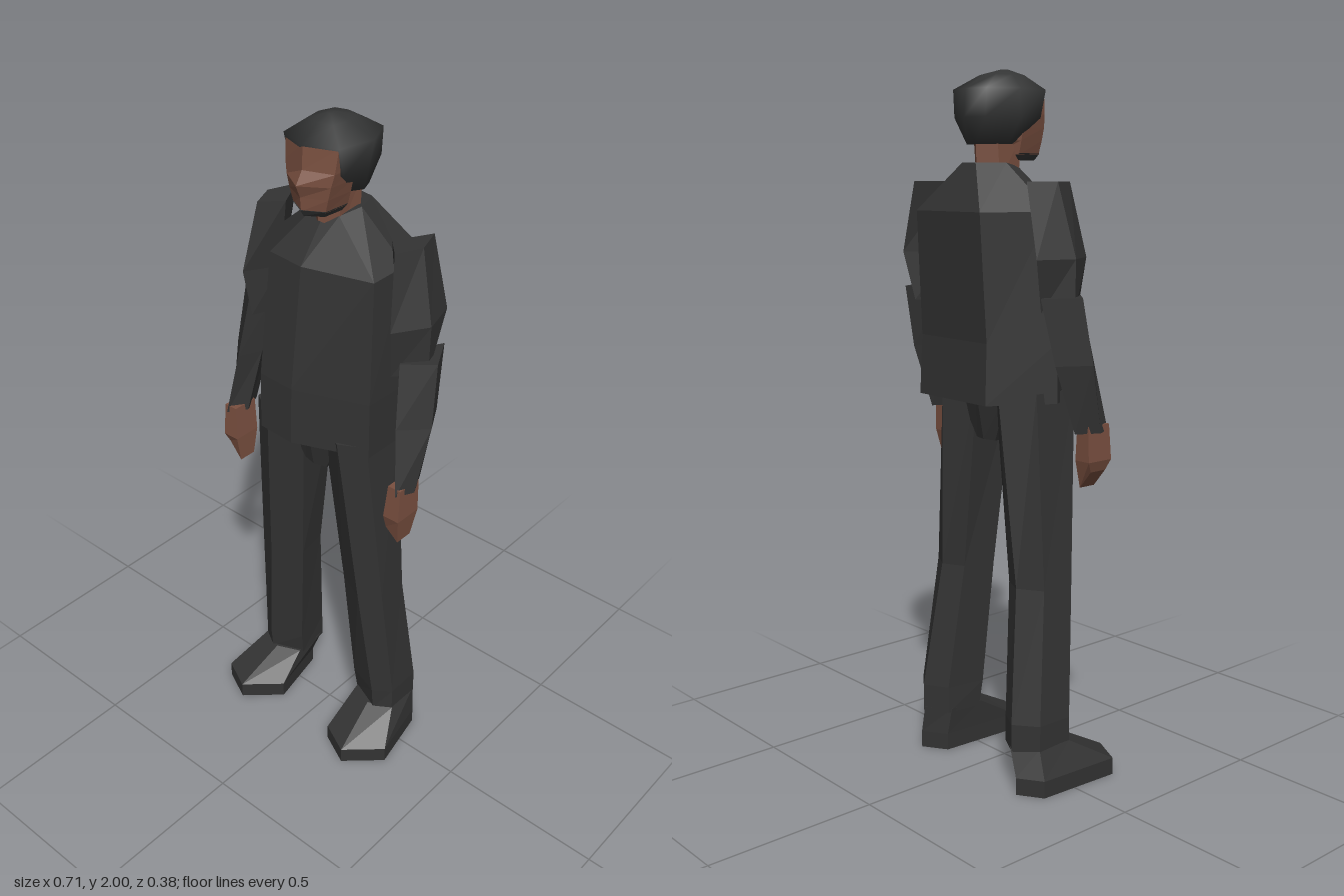
import * as THREE from 'three';

// Joins horizontal rings (bottom to top, counter-clockwise from above) and caps both ends
function loft(rings, smooth = false) {
  const n = rings[0].length, pos = rings.flat(2), idx = [];
  for (let r = 0; r < rings.length - 1; r++) {
    for (let i = 0; i < n; i++) {
      const j = (i + 1) % n, a = r * n + i, b = r * n + j;
      idx.push(a, b, b + n, a, b + n, a + n);
    }
  }
  const top = (rings.length - 1) * n;
  for (let i = 1; i < n - 1; i++) {
    idx.push(0, i + 1, i, top, top + i, top + i + 1);
  }
  let geo = new THREE.BufferGeometry();
  geo.setAttribute('position', new THREE.Float32BufferAttribute(pos, 3));
  geo.setIndex(idx);
  if (!smooth) geo = geo.toNonIndexed();
  geo.computeVertexNormals();
  return geo;
}

// Ring from [x, z, dy] points; side -1 mirrors it
function ring(y, pts, side = 1) {
  const out = pts.map(([x, z, dy = 0]) => [x * side, y + dy, z]);
  return side < 0 ? out.reverse() : out;
}

// Symmetric ring from a half outline running front centre to back centre
function symRing(y, half) {
  const mirrored = half.slice(1, -1).reverse().map(([x, z, dy]) => [-x, z, dy]);
  return ring(y, [...half, ...mirrored]);
}

export function createModel() {
  const mat = (name, color) => {
    const m = new THREE.MeshStandardMaterial({ color });
    m.name = name;
    return m;
  };
  const cloth = mat('dark cloth', 0x333333);
  const skin = mat('skin', 0x7a5040);
  const hairMat = mat('hair', 0x343535);

  const model = new THREE.Group();
  model.name = 'standingMan';
  const add = (name, rings, material, smooth) => {
    const mesh = new THREE.Mesh(loft(rings, smooth), material);
    mesh.name = name;
    model.add(mesh);
  };

  // Jacket, slightly uneven from side to side
  add('jacket', [
    ring(1.10, [[-0.22, 0], [-0.12, 0.155], [0, 0.163], [0.21, 0.08], [0.21, -0.06], [0.18, -0.165], [-0.12, -0.175]]),
    ring(1.27, [[-0.22, 0], [-0.12, 0.15], [0, 0.157], [0.21, 0.08], [0.212, -0.06], [0.18, -0.155], [-0.12, -0.17]]),
    ring(1.62, [[-0.21, -0.02], [-0.12, 0.1], [0, 0.113], [0.2, 0.06], [0.21, -0.05, 0.01], [0.18, -0.17], [-0.12, -0.193]]),
    ring(1.75, [[-0.065, -0.05], [-0.04, 0.015, -0.01], [0, 0.035, -0.03], [0.045, 0.015, -0.01], [0.065, -0.05], [0.04, -0.12], [-0.03, -0.13]]),
  ], cloth);

  // Crotch block between the legs
  add('pelvis', [
    symRing(0.98, [[0, 0.07], [0.04, 0.06], [0.04, -0.07], [0, -0.08]]),
    symRing(1.14, [[0, 0.1], [0.12, 0.08], [0.12, -0.09], [0, -0.11]]),
  ], cloth);

  // Neck
  add('neck', [
    symRing(1.70, [[0, 0.045, 0.025], [0.045, 0.01], [0.05, -0.06], [0, -0.1]]),
    symRing(1.83, [[0, 0.06], [0.05, 0.02], [0.05, -0.07], [0, -0.105]]),
  ], skin);

  // Beard under the chin
  add('beard', [
    symRing(1.757, [[0, 0.1], [0.045, 0.07], [0.05, 0.01], [0, -0.02]]),
    symRing(1.776, [[0, 0.112], [0.056, 0.08], [0.062, 0], [0, -0.03]]),
  ], hairMat);

  // Face
  add('face', [
    symRing(1.772, [[0, 0.109], [0.054, 0.078], [0.06, 0], [0, -0.04]]),
    symRing(1.81, [[0, 0.112], [0.065, 0.08], [0.07, 0], [0, -0.07]]),
    symRing(1.845, [[0, 0.127], [0.074, 0.08], [0.078, 0], [0, -0.08]]),
    symRing(1.88, [[0, 0.104], [0.082, 0.075], [0.085, 0], [0, -0.08]]),
    symRing(1.945, [[0, 0.1], [0.088, 0.066], [0.09, 0], [0, -0.08]]),
  ], skin);

  // Hair cap, low at the nape and high over the brow
  add('hair', [
    symRing(1.80, [[0, -0.02], [0.055, -0.02], [0.072, -0.05], [0.055, -0.09], [0, -0.105]]),
    symRing(1.87, [[0, 0.05], [0.09, 0.052], [0.102, -0.03], [0.065, -0.125], [0, -0.145]]),
    symRing(1.945, [[0, 0.104], [0.092, 0.069], [0.112, -0.04], [0.07, -0.125], [0, -0.14]]),
    symRing(1.985, [[0, 0.045], [0.042, 0.035], [0.05, -0.015], [0.035, -0.06], [0, -0.07]]),
    symRing(2.0, [[0, 0.01], [0.008, 0.008], [0.01, 0], [0.008, -0.01], [0, -0.012]]),
  ], hairMat, true);

  for (const [side, label] of [[1, 'left'], [-1, 'right']]) {
    const r = (y, pts) => ring(y, pts, side);

    // Sleeve: padded upper arm and overlapping forearm
    add(label + 'UpperArm', [
      r(1.36, [[0.25, 0.045], [0.315, -0.03], [0.27, -0.11], [0.22, -0.03]]),
      r(1.50, [[0.26, 0.065], [0.318, -0.03], [0.285, -0.14], [0.205, -0.03]]),
      r(1.70, [[0.235, 0.025], [0.268, -0.05], [0.238, -0.133], [0.182, -0.03]]),
    ], cloth);
    add(label + 'Forearm', [
      r(1.03, [[0.318, 0.097], [0.343, 0.045], [0.31, -0.02], [0.282, 0.045]]),
      r(1.22, [[0.29, 0.068], [0.357, 0], [0.305, -0.09], [0.26, 0]]),
      r(1.40, [[0.27, 0.035], [0.345, -0.03], [0.29, -0.13], [0.235, -0.03]]),
    ], cloth);

    // Hand, with the low fingertip edge toward -x or +x
    const inner = side > 0 ? 0.035 : 0, outer = side > 0 ? 0 : 0.05;
    add(label + 'Hand', [
      r(0.87, [[0.28, 0.085, inner], [0.322, 0.085, outer], [0.322, 0.03, outer], [0.28, 0.03, inner]]),
      r(0.95, [[0.28, 0.098], [0.332, 0.098], [0.332, 0.012], [0.28, 0.012]]),
      r(1.05, [[0.288, 0.09], [0.33, 0.09], [0.33, 0.01], [0.288, 0.01]]),
    ], skin);

    // Trouser leg
    add(label + 'Leg', [
      r(0.12, [[0.215, 0.04], [0.267, 0.01], [0.265, -0.1], [0.2, -0.15], [0.13, -0.11], [0.118, 0]]),
      r(0.20, [[0.215, 0.047], [0.267, 0.01], [0.265, -0.1], [0.2, -0.15], [0.13, -0.11], [0.112, 0.01]]),
      r(0.58, [[0.175, 0.075], [0.24, 0.04], [0.235, -0.06], [0.165, -0.102], [0.1, -0.07], [0.083, 0.03]]),
      r(1.13, [[0.13, 0.12], [0.203, 0.08], [0.2, -0.06], [0.12, -0.13], [0.04, -0.07], [0.037, 0.07]]),
    ], cloth);

    // Shoe, with both toes angled the same way
    const cx = side * 0.215, ax = side * 0.195;
    const sole = [[cx, 0.192], [cx + 0.1, 0.1], [cx + 0.06, -0.09], [cx - 0.01, -0.155], [cx - 0.08, -0.11], [cx - 0.097, 0.145]];
    add(label + 'Shoe', [
      ring(0, sole),
      ring(0.05, sole),
      ring(0.13, [[ax, 0.042], [ax + 0.073, 0.01], [ax + 0.068, -0.1], [ax, -0.15], [ax - 0.068, -0.1], [ax - 0.073, 0.01]]),
    ], cloth);
  }
  return model;
}
